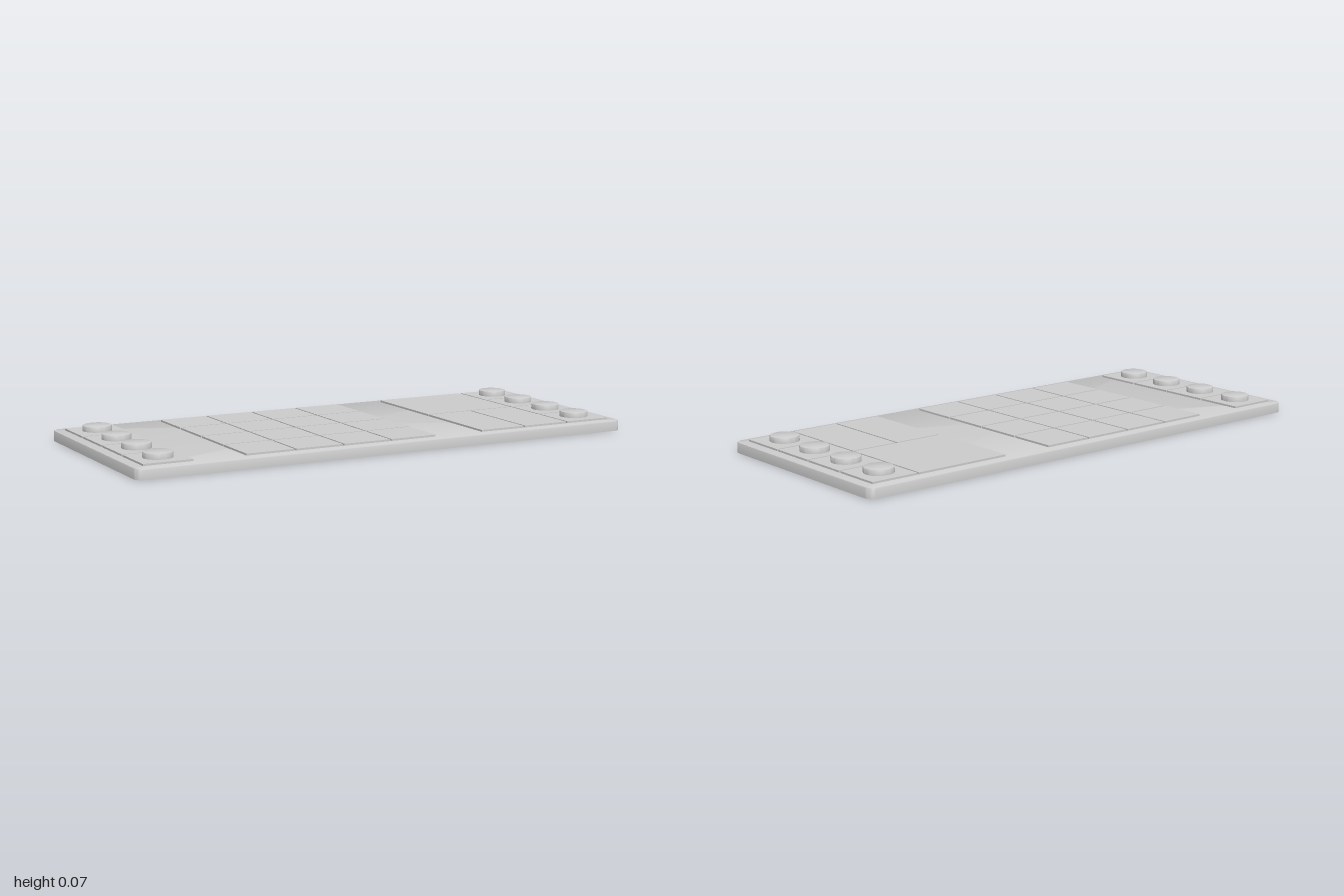
import * as THREE from 'three';
import { toCreasedNormals } from 'three/addons/utils/BufferGeometryUtils.js';

const grey = new THREE.MeshStandardMaterial({ color: 0xcccccc });
const PITCH = 0.193, GAP = 0.007;
const BASE_TOP = 0.04, TILE_TOP = 0.047, KNOB_TOP = 0.068;

// Rounded rectangle plate lofted through [inset, y] steps, capped at both ends
function plateGeometry(width, depth, radius, steps, cornerSegments = 8) {
  const pos = [], index = [];
  const count = 4 * (cornerSegments + 1);
  for (const [inset, y] of steps) {
    for (let corner = 0; corner < 4; corner++) {
      const sx = corner === 0 || corner === 3 ? 1 : -1;
      const sz = corner < 2 ? -1 : 1;
      for (let i = 0; i <= cornerSegments; i++) {
        const a = (corner + i / cornerSegments) * Math.PI / 2;
        const r = radius - inset;
        pos.push(sx * (width / 2 - radius) + r * Math.cos(a), y,
          sz * (depth / 2 - radius) - r * Math.sin(a));
      }
    }
  }
  const last = (steps.length - 1) * count;
  const bottom = pos.length / 3, top = bottom + 1;
  pos.push(0, steps[0][1], 0, 0, steps[steps.length - 1][1], 0);
  for (let j = 0; j < count; j++) {
    const k = (j + 1) % count;
    for (let s = 0; s < last; s += count) {
      index.push(s + j, s + k, s + count + k, s + j, s + count + k, s + count + j);
    }
    index.push(bottom, k, j, top, last + j, last + k);
  }
  const geometry = new THREE.BufferGeometry();
  geometry.setAttribute('position', new THREE.Float32BufferAttribute(pos, 3));
  geometry.setIndex(index);
  return toCreasedNormals(geometry, 0.6);
}

export function createModel() {
  const model = new THREE.Group();
  const add = (name, geometry, x = 0, y = 0, z = 0) => {
    const mesh = new THREE.Mesh(geometry, grey);
    mesh.name = name;
    mesh.position.set(x, y, z);
    model.add(mesh);
  };

  // Base board with a softened upper rim
  add('baseBoard', plateGeometry(2, 0.844, 0.03,
    [[0, 0], [0, 0.034], [0.002, 0.038], [0.006, BASE_TOP]]));

  // Thin tile covering grid cells; col and row count pitches from the centre
  const addTile = (name, col, row, cols = 1, rows = 1) => {
    const height = TILE_TOP - BASE_TOP + 0.002;
    add(name, new THREE.BoxGeometry(cols * PITCH - GAP, height, rows * PITCH - GAP),
      (col + cols / 2) * PITCH, TILE_TOP - height / 2, (row + rows / 2) * PITCH);
  };

  // Main grid of square pads
  for (let col = -3; col < 1; col++) {
    for (let row = -2; row < 2; row++) addTile('gridPad', col, row);
  }

  // Large panel and the two tall panels in front of it
  addTile('largePanel', 2, -2, 2, 2);
  addTile('tallPanel', 2, 0, 1, 2);
  addTile('tallPanel', 3, 0, 1, 2);

  // Knob strips at both ends
  const knobProfile = [[0.054, TILE_TOP - 0.001], [0.054, KNOB_TOP - 0.003],
    [0.053, KNOB_TOP - 0.001], [0.051, KNOB_TOP], [0, KNOB_TOP]]
    .map(([r, y]) => new THREE.Vector2(r, y));
  const knobGeometry = toCreasedNormals(new THREE.LatheGeometry(knobProfile, 40), 0.6);
  for (const col of [-5, 4]) {
    for (let row = -2; row < 2; row++) {
      addTile('knobPad', col, row);
      add('knob', knobGeometry, (col + 0.5) * PITCH, 0, (row + 0.5) * PITCH);
    }
  }
  return model;
}
